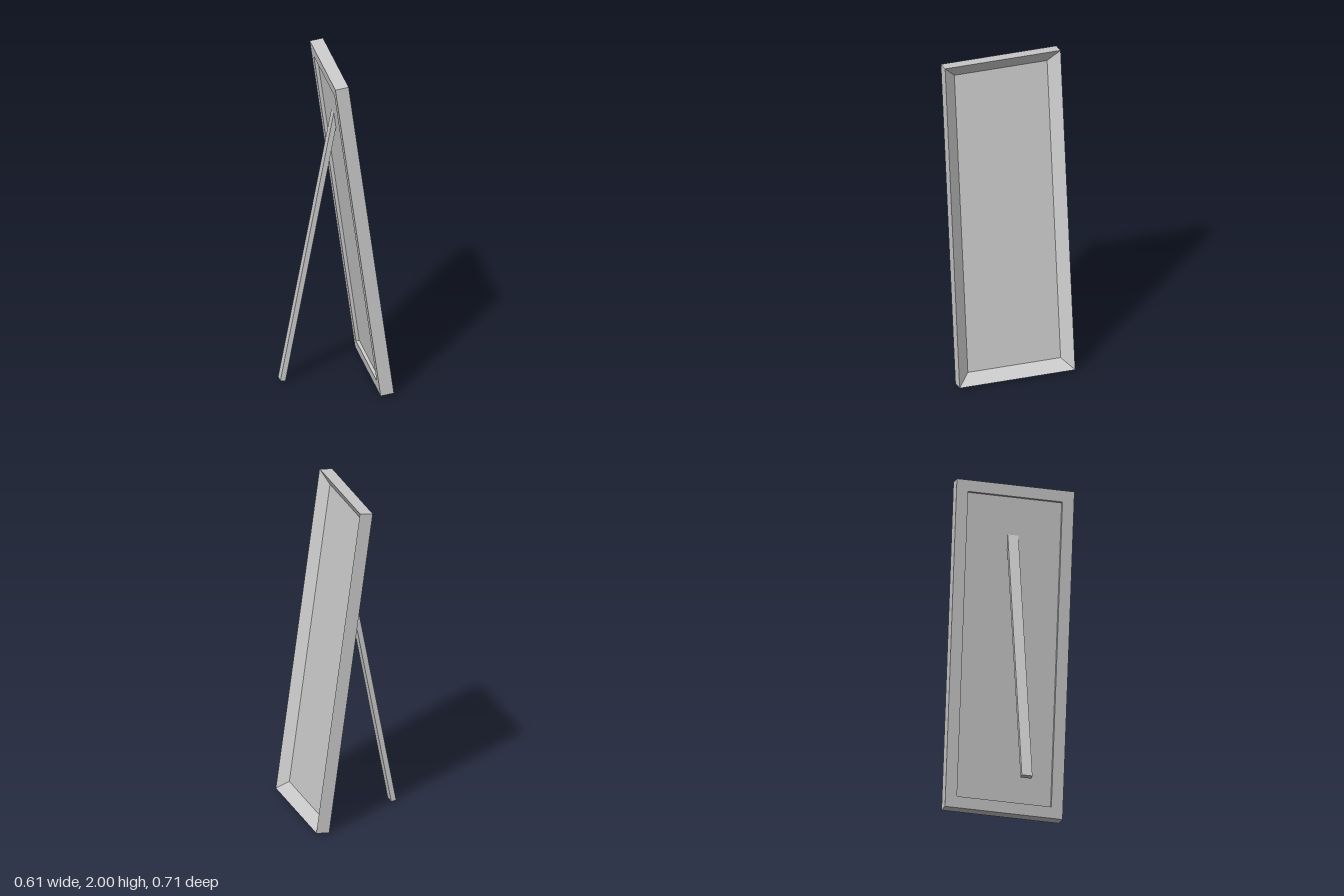
import * as THREE from 'three';

const HEIGHT = 2.007, WIDTH = 0.71, DEPTH = 0.08, BORDER = 0.07;
const TILT = THREE.MathUtils.degToRad(7.74);
const material = new THREE.MeshStandardMaterial({ color: 0xcccccc, flatShading: true });

function addMesh(parent, name, geometry) {
  const mesh = new THREE.Mesh(geometry, material);
  mesh.name = name;
  parent.add(mesh);
  return mesh;
}

// Sweeps a closed [inset, depth] profile round a rectangle, with mitred corners
function frameGeometry(profile) {
  const corners = [[-1, -1], [1, -1], [1, 1], [-1, 1]];
  const point = ([inset, depth], [sz, sy]) =>
    [depth, HEIGHT / 2 + sy * (HEIGHT / 2 - inset), sz * (WIDTH / 2 - inset)];
  const positions = [];
  profile.forEach((p, i) => {
    const q = profile[(i + 1) % profile.length];
    corners.forEach((c, k) => {
      const n = corners[(k + 1) % 4];
      const [a, b, d, e] = [point(p, c), point(p, n), point(q, c), point(q, n)];
      positions.push(...a, ...d, ...b, ...b, ...d, ...e);
    });
  });
  const geometry = new THREE.BufferGeometry();
  geometry.setAttribute('position', new THREE.Float32BufferAttribute(positions, 3));
  geometry.computeVertexNormals();
  return geometry;
}

export function createModel() {
  const model = new THREE.Group();
  model.name = 'standingMirror';

  // Leaning panel, pivoted on its lower back edge
  const panel = new THREE.Group();
  panel.name = 'leaningPanel';
  panel.position.set(0.224, 0, 0);
  panel.rotation.z = TILT;
  model.add(panel);

  // Frame: square outside, bevelled in towards the glass, stepped at the back
  addMesh(panel, 'frame', frameGeometry([
    [0, 0], [0, DEPTH], [BORDER, 0.03], [BORDER, 0],
  ]));

  // Recessed mirror pane
  const pane = addMesh(panel, 'mirrorPane',
    new THREE.BoxGeometry(0.01, HEIGHT - 2 * BORDER, WIDTH - 2 * BORDER));
  pane.position.set(0.025, HEIGHT / 2, 0);

  // Rear prop leg, cut to meet the back of the pane
  const side = new THREE.Shape([
    new THREE.Vector2(-0.305, 0.004),
    new THREE.Vector2(-0.275, 0),
    new THREE.Vector2(0.027, 1.6),
    new THREE.Vector2(0.014, 1.695),
  ]);
  const leg = addMesh(model, 'rearLeg',
    new THREE.ExtrudeGeometry(side, { depth: 0.064, bevelEnabled: false }));
  leg.position.z = -0.032;

  return model;
}
